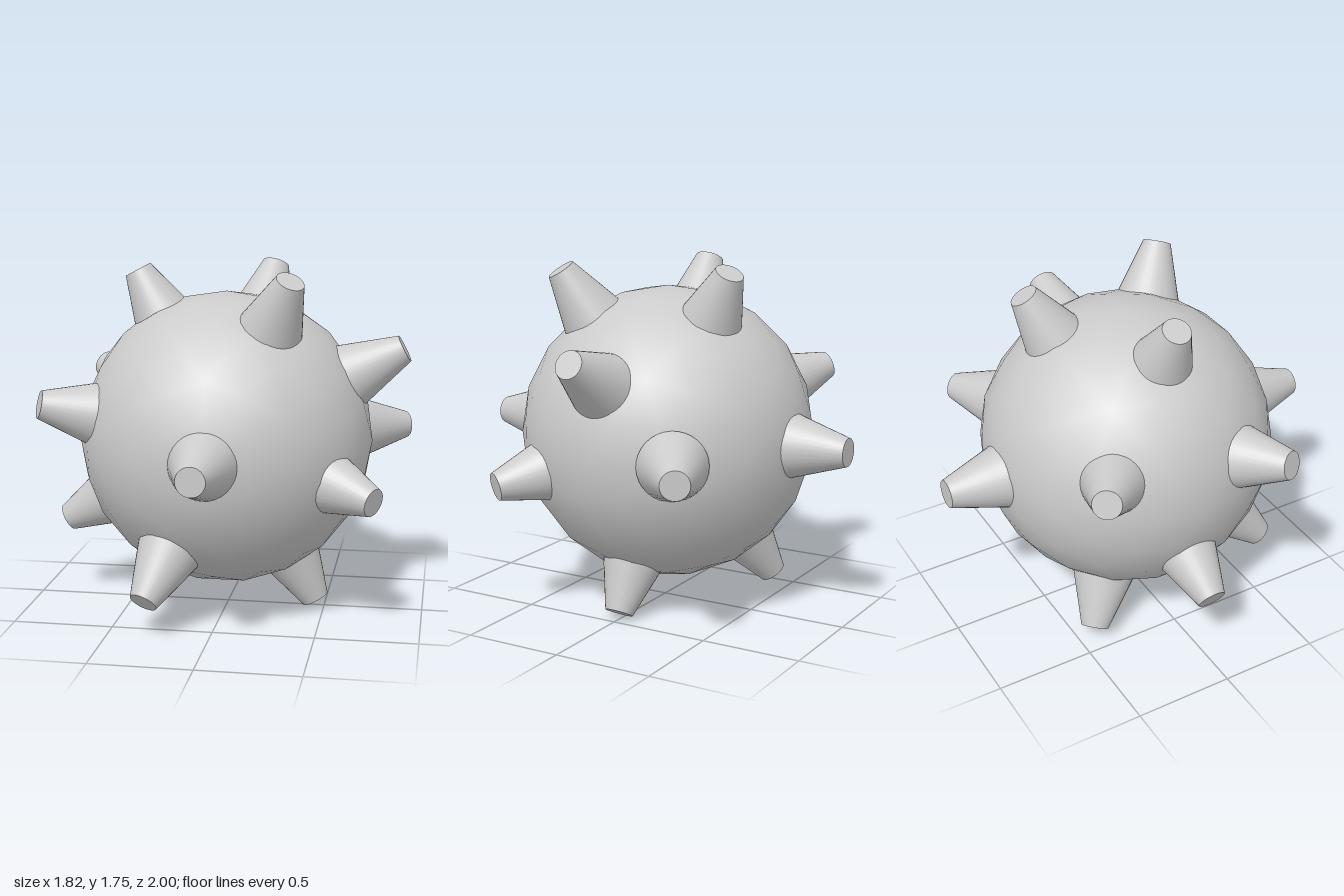
import * as THREE from 'three';

const CENTRE = new THREE.Vector3(-0.01, 0.88, -0.01);
const BODY_RADIUS = 0.74;
const TIP_RADIUS = 0.07;
const BASE_RADIUS = 0.17;
const SPIKE_LENGTH = 0.32;

// centre of each spike's blunt end
const TIPS = [
  [-0.01, 0.88, 1], [-0.01, 0.88, -1],                           // front, back
  [-0.46, 1.72, 0], [0.355, 1.71, 0.385], [0.18, 1.72, -0.455],  // upper ring
  [0.88, 1.35, -0.01], [0.875, 0.86, -0.56], [0.77, 0.69, 0.5],  // left side
  [-0.875, 1.09, 0.39], [-0.775, 1.15, -0.545], [-0.85, 0.415, -0.01], // right side
  [0.455, 0.04, 0], [-0.31, 0.19, 0.645], [-0.41, 0.08, -0.42],  // lower ring
];

export function createModel() {
  const group = new THREE.Group();
  group.name = 'spikedBall';
  const material = new THREE.MeshStandardMaterial({ color: 0xcccccc });

  // round body, coarse outline with smooth shading
  const body = new THREE.Mesh(new THREE.IcosahedronGeometry(BODY_RADIUS, 3), material);
  body.name = 'body';
  body.position.copy(CENTRE);
  group.add(body);

  // blunt tapered spikes, all pointing away from the centre
  const spikeGeometry = new THREE.CylinderGeometry(TIP_RADIUS, BASE_RADIUS, SPIKE_LENGTH, 32);
  spikeGeometry.translate(0, -SPIKE_LENGTH / 2, 0); // origin at the tip
  const up = new THREE.Vector3(0, 1, 0);
  TIPS.forEach((point, i) => {
    const tip = new THREE.Vector3(...point);
    const spike = new THREE.Mesh(spikeGeometry, material);
    spike.name = `spike${i + 1}`;
    spike.position.copy(tip);
    spike.quaternion.setFromUnitVectors(up, tip.clone().sub(CENTRE).normalize());
    group.add(spike);
  });

  return group;
}
